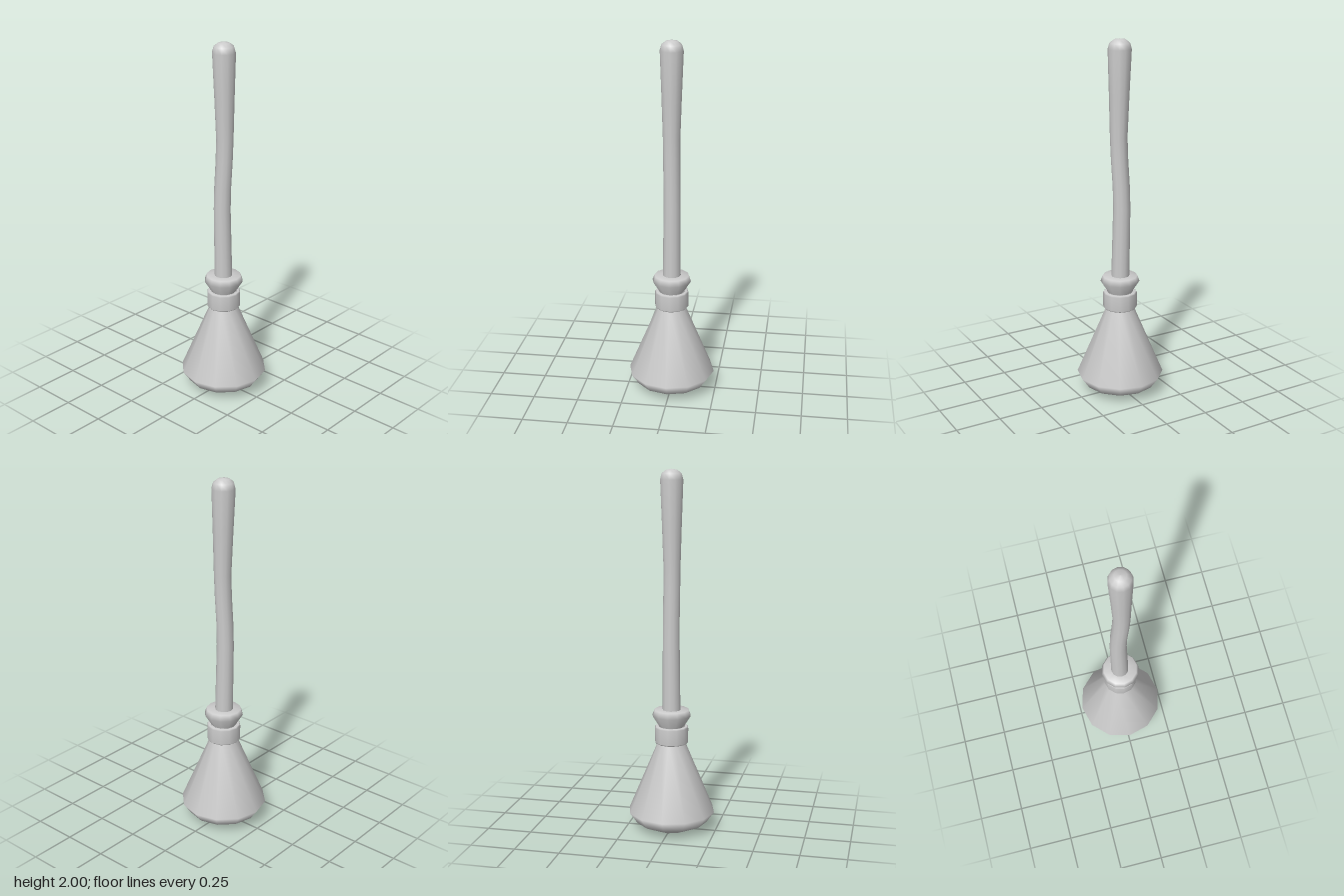
import * as THREE from 'three';

const SIDES = 12;
const material = new THREE.MeshStandardMaterial({ color: 0xcccccc });

// Turned part from [radius, height] pairs, listed from bottom to top
function turned(name, profile) {
  const points = profile.map(([r, y]) => new THREE.Vector2(r, y));
  const mesh = new THREE.Mesh(new THREE.LatheGeometry(points, SIDES), material);
  mesh.name = name;
  return mesh;
}

export function createModel() {
  const group = new THREE.Group();
  group.name = 'broom';

  // Bristles: rounded underside, flared skirt, waist
  group.add(turned('bristles', [
    [0, 0.005], [0.1, 0.005], [0.2, 0.052], [0.242, 0.112], [0.077, 0.505], [0.075, 0.6],
  ]));

  // Gathered bristle ends above the binding
  group.add(turned('collar', [
    [0.068, 0.56], [0.072, 0.602], [0.108, 0.66], [0.096, 0.692], [0.04, 0.692],
  ]));

  // Binding band with narrow bevels
  group.add(turned('binding', [
    [0.07, 0.503], [0.088, 0.503], [0.094, 0.51], [0.094, 0.592], [0.088, 0.599], [0.068, 0.599],
  ]));

  // Handle: rounded top, slightly crooked along x
  const handle = turned('handle', [
    [0.05, 0.6], [0.05, 0.69], [0.047, 1.08], [0.0465, 1.2], [0.0465, 1.36], [0.047, 1.48],
    [0.054, 1.7], [0.063, 1.945], [0.054, 1.977], [0.031, 1.995], [0, 2],
  ]);
  const bend = [[0.6, -0.002], [0.69, -0.002], [1.08, -0.011], [1.2, -0.008], [1.36, 0.003], [1.48, 0.008], [2, 0.001]];
  const offsetAt = (y) => {
    const i = Math.max(1, bend.findIndex(([h]) => h >= y - 1e-4));
    const [y0, x0] = bend[i - 1], [y1, x1] = bend[i];
    return THREE.MathUtils.mapLinear(y, y0, y1, x0, x1);
  };
  const pos = handle.geometry.attributes.position;
  for (let i = 0; i < pos.count; i++) pos.setX(i, pos.getX(i) + offsetAt(pos.getY(i)));
  group.add(handle);

  return group;
}
